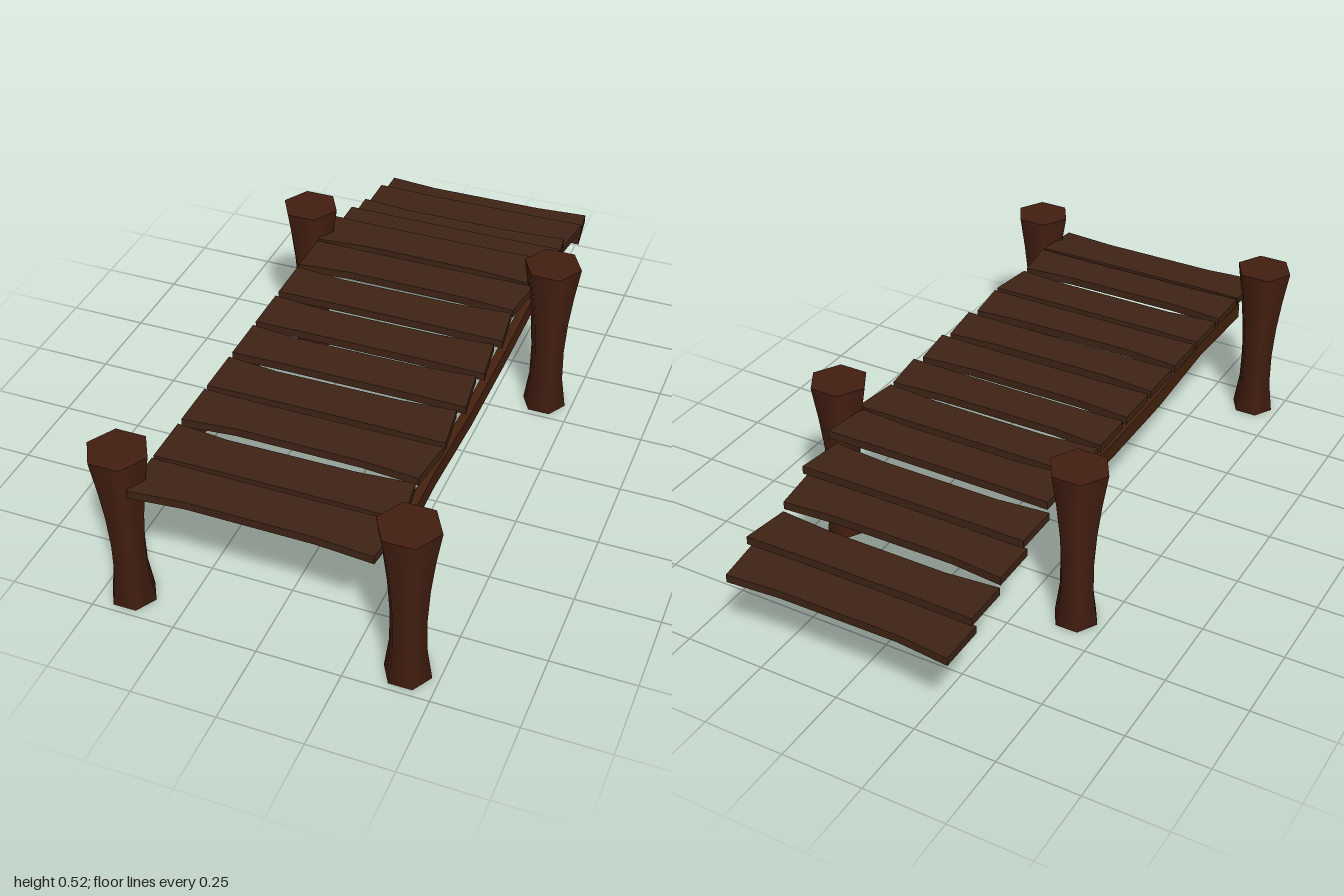
import * as THREE from 'three';

const plankMat = new THREE.MeshStandardMaterial({ color: 0x3f2416, flatShading: true });
const railMat = new THREE.MeshStandardMaterial({ color: 0x45220f, flatShading: true });
const postMat = new THREE.MeshStandardMaterial({ color: 0x431e10 });

// Hexagonal post with a pinched waist: radii at evenly spaced heights
function makePost(x, z) {
  const height = 0.525;
  const radii = [0.069, 0.054, 0.053, 0.06, 0.073, 0.09];
  const g = new THREE.CylinderGeometry(1, 1, height, 6, radii.length - 1, false, Math.PI / 2);
  g.translate(0, height / 2, 0);
  const p = g.attributes.position;
  for (let i = 0; i < p.count; i++) {
    const r = radii[Math.round(p.getY(i) / height * (radii.length - 1))];
    p.setX(i, p.getX(i) * r);
    p.setZ(i, p.getZ(i) * r);
  }
  const post = new THREE.Mesh(g, postMat);
  post.position.set(x, 0, z);
  return post;
}

// Worn plank: one long edge hollowed, that edge slightly shorter on the right
function plankGeometry() {
  const outline = [
    [-0.36, -0.073], [-0.2, -0.07], [0.17, -0.07], [0.357, -0.073],
    [0.338, 0.073], [0.17, 0.06], [-0.2, 0.058], [-0.36, 0.073],
  ].map(([x, y]) => new THREE.Vector2(x, y));
  const g = new THREE.ExtrudeGeometry(new THREE.Shape(outline), { depth: 0.025, bevelEnabled: false });
  g.translate(0, 0, -0.0125);
  return g.rotateX(Math.PI / 2);
}

// Sagging side rail: a box whose sections follow a height curve along z
function makeRail(x) {
  const z0 = -0.34, z1 = 0.88, steps = 4;
  const heights = [0.372, 0.361, 0.361, 0.384, 0.372];
  const g = new THREE.BoxGeometry(0.026, 0.05, z1 - z0, 1, 1, steps);
  g.translate(0, 0, (z0 + z1) / 2);
  const p = g.attributes.position;
  for (let i = 0; i < p.count; i++) {
    const k = Math.round((p.getZ(i) - z0) / (z1 - z0) * steps);
    p.setY(i, p.getY(i) + heights[k]);
  }
  const rail = new THREE.Mesh(g, railMat);
  rail.position.x = x;
  return rail;
}

export function createModel() {
  const model = new THREE.Group();
  const add = (mesh, name) => {
    mesh.name = name;
    model.add(mesh);
  };

  add(makePost(0.41, 0.92), 'frontLeftPost');
  add(makePost(-0.41, 0.92), 'frontRightPost');
  add(makePost(0.41, -0.33), 'backLeftPost');
  add(makePost(-0.41, -0.38), 'backRightPost');

  add(makeRail(0.344), 'leftRail');
  add(makeRail(-0.336), 'rightRail');

  // Planks as [z, y, hollow side: 1 front, -1 back]
  const deckY = 0.432;
  const planks = [
    [0.905, deckY, 1], [0.75, deckY, -1], [0.583, deckY, 1],
    [0.42, deckY, -1], [0.252, deckY, -1], [0.088, deckY, -1],
    [-0.08, deckY, -1], [-0.24, deckY, 1], [-0.395, deckY, 1],
    [-0.53, 0.39, 1], [-0.653, 0.35, -1], [-0.803, 0.32, 1], [-0.927, 0.28, -1],
  ];
  const geometry = plankGeometry();
  const flipped = geometry.clone().rotateX(Math.PI);
  planks.forEach(([z, y, side], i) => {
    const plank = new THREE.Mesh(side > 0 ? geometry : flipped, plankMat);
    plank.position.set(0, y, z);
    add(plank, i < 9 ? `deckPlank${i + 1}` : `stepPlank${i - 8}`);
  });

  return model;
}
